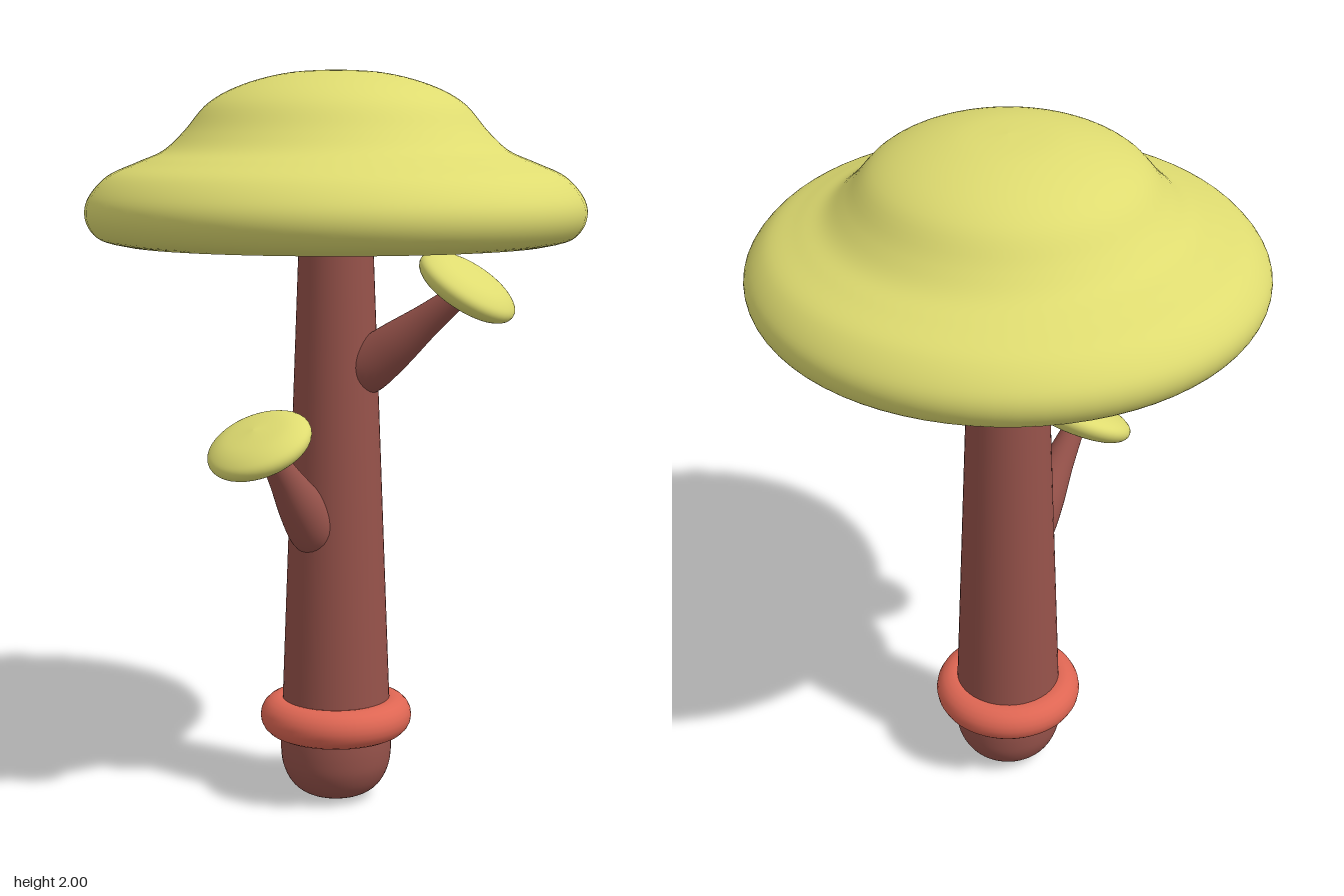
import * as THREE from 'three';

const V3 = (x, y, z) => new THREE.Vector3(x, y, z);
const UP = V3(0, 1, 0);

// Smooth lathe through a few [radius, height] points, listed from bottom to top
function turned(points, samples, segments) {
  const curve = new THREE.SplineCurve(points.map(([r, y]) => new THREE.Vector2(r, y)));
  const profile = curve.getPoints(samples);
  profile.forEach((p) => { p.x = Math.max(p.x, 0); });
  return new THREE.LatheGeometry(profile, segments);
}

function part(name, geometry, material) {
  const mesh = new THREE.Mesh(geometry, material);
  mesh.name = name;
  return mesh;
}

export function createModel() {
  const model = new THREE.Group();
  model.name = 'mushroomTree';
  const bark = new THREE.MeshStandardMaterial({ color: 0x96524a });
  const capColor = new THREE.MeshStandardMaterial({ color: 0xdedb70 });
  const ringColor = new THREE.MeshStandardMaterial({ color: 0xde6653 });

  // Tapered trunk with a rounded foot
  const foot = new THREE.SplineCurve([
    [0, 0], [0.07, 0.008], [0.118, 0.036], [0.146, 0.085], [0.154, 0.14], [0.153, 0.2],
  ].map(([r, y]) => new THREE.Vector2(r, y))).getPoints(24);
  const trunkProfile = [...foot, new THREE.Vector2(0.148, 0.3), new THREE.Vector2(0.1, 1.56)];
  model.add(part('trunk', new THREE.LatheGeometry(trunkProfile, 48), bark));

  // Ring around the foot
  const ring = part('ring', new THREE.TorusGeometry(0.157, 0.053, 20, 64), ringColor);
  ring.rotation.x = Math.PI / 2;
  ring.position.y = 0.233;
  model.add(ring);

  // Large cap: domed crown, concave shoulder and rolled rim
  model.add(part('cap', turned([
    [0.57, 1.54], [0.635, 1.558], [0.668, 1.605], [0.662, 1.66], [0.61, 1.72],
    [0.53, 1.757], [0.46, 1.788], [0.405, 1.838], [0.34, 1.912], [0.25, 1.96],
    [0.13, 1.991], [0, 2],
  ], 60, 72), capColor));
  const underside = part('capUnderside', new THREE.CircleGeometry(0.572, 72), capColor);
  underside.rotation.x = Math.PI / 2;
  underside.position.y = 1.54;
  model.add(underside);

  // Side branches, each a rounded taper carrying a tilted little cap
  const branches = [
    { name: 'frontBranch', base: V3(0, 0.77, 0.09), tip: V3(0, 1.01, 0.275),
      cap: V3(0, 1.03, 0.31), normal: V3(0, 0.88, 0.47) },
    { name: 'leftBranch', base: V3(0.08, 1.205, -0.025), tip: V3(0.355, 1.42, -0.088),
      cap: V3(0.372, 1.438, -0.093), normal: V3(0.54, 0.83, -0.14) },
  ];
  for (const { name, base, tip, cap, normal } of branches) {
    const group = new THREE.Group();
    group.name = name;
    const axis = tip.clone().sub(base);
    const length = axis.length();
    const stem = part('branchStem', turned([
      [0, -0.07], [0.05, -0.05], [0.071, 0], [0.063, length * 0.3],
      [0.044, length * 0.65], [0.03, length],
    ], 28, 32), bark);
    stem.position.copy(base);
    stem.quaternion.setFromUnitVectors(UP, axis.normalize());
    const smallCap = part('smallCap', turned([
      [0, -0.042], [0.09, -0.04], [0.13, -0.025], [0.143, -0.002], [0.13, 0.02],
      [0.085, 0.039], [0, 0.048],
    ], 36, 40), capColor);
    smallCap.position.copy(cap);
    smallCap.quaternion.setFromUnitVectors(UP, normal.normalize());
    group.add(stem, smallCap);
    model.add(group);
  }
  return model;
}
